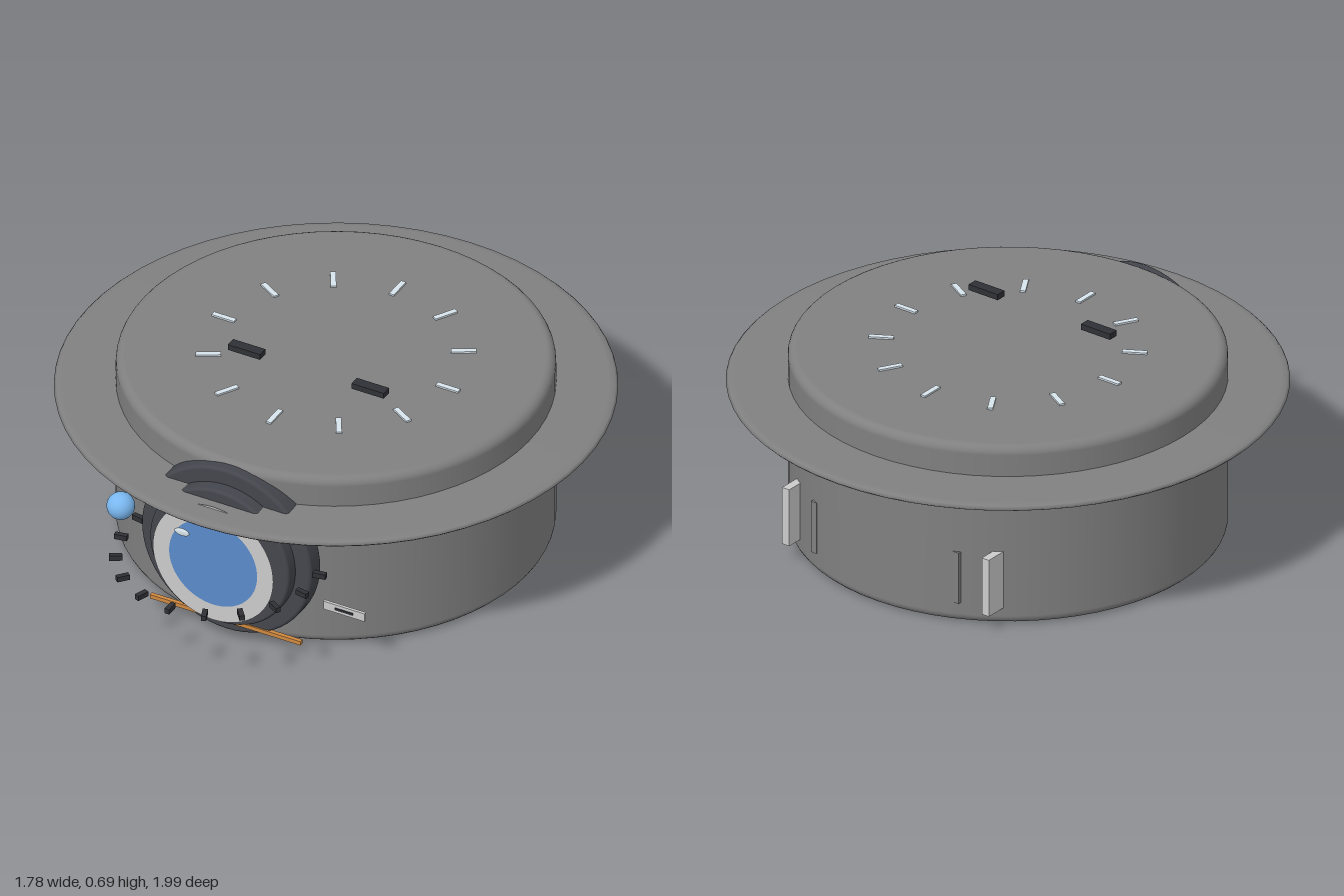
import * as THREE from 'three';

const mat = (color, extra = {}) => new THREE.MeshStandardMaterial({ color, ...extra });
const grey = mat(0xcccccc);
const shell = mat(0x808080);
const dark = mat(0x44464d);
const black = mat(0x303136);
const blue = mat(0x5a8aca);
const paleBlue = mat(0x7ab8f0);
const tickColor = mat(0xd8e4ec);
const orange = mat(0xd08a40);

const CZ = -0.11;   // axis of the drum
const LY = 0.315;   // height of the lens axis

export function createModel() {
  const model = new THREE.Group();

  const add = (name, geometry, material, x, y, z) => {
    const mesh = new THREE.Mesh(geometry, material);
    mesh.name = name;
    mesh.position.set(x, y, z);
    model.add(mesh);
    return mesh;
  };
  const box = (name, size, material, x, y, z) =>
    add(name, new THREE.BoxGeometry(...size), material, x, y, z);

  // Solid of revolution with rounded rims, from y = 0 to y = h
  const roundedDisc = (r, h, b, segments) => {
    const pts = [new THREE.Vector2(0, 0)];
    const steps = 5;
    for (let i = 0; i <= steps; i++) {
      const a = (i / steps) * Math.PI / 2;
      pts.push(new THREE.Vector2(r - b + b * Math.sin(a), b - b * Math.cos(a)));
    }
    for (let i = 0; i <= steps; i++) {
      const a = (i / steps) * Math.PI / 2;
      pts.push(new THREE.Vector2(r - b + b * Math.cos(a), h - b + b * Math.sin(a)));
    }
    pts.push(new THREE.Vector2(0, h));
    return new THREE.LatheGeometry(pts, segments);
  };

  // Drum body
  add('body', roundedDisc(0.693, 0.63, 0.03, 64), shell, 0, 0, CZ);

  // Thin brim around the drum
  const brim = [[0.6, 0.497], [0.86, 0.497], [0.88, 0.502], [0.888, 0.51],
    [0.88, 0.518], [0.86, 0.522], [0.6, 0.528]].map(p => new THREE.Vector2(...p));
  add('brim', new THREE.LatheGeometry(brim, 64), shell, 0, 0, CZ);

  // Dial ticks on the lid
  for (let i = 0; i < 12; i++) {
    const a = (i / 12) * Math.PI * 2;
    const tick = box('dialTick', [0.018, 0.012, 0.08], tickColor,
      0.402 * Math.sin(a), 0.63, CZ + 0.402 * Math.cos(a));
    tick.rotation.y = a;
  }

  // Two floating bars above the lid
  for (const s of [-1, 1]) box('lidBar', [0.115, 0.02, 0.035], black, s * 0.222, 0.68, 0.07);

  // Stepped lens housing, turned to face +z
  const forward = geometry => geometry.rotateX(Math.PI / 2);
  add('lensHousing', forward(roundedDisc(0.305, 0.07, 0.012, 64)), dark, 0, LY, 0.54);
  add('lensStep', forward(roundedDisc(0.25, 0.06, 0.01, 64)), dark, 0, LY, 0.595);
  add('lensGlass', forward(roundedDisc(0.165, 0.042, 0.005, 48)), blue, 0, LY, 0.65);
  add('lensRing', new THREE.RingGeometry(0.158, 0.216, 64),
    mat(0xcccccc, { side: THREE.DoubleSide }), 0, LY, 0.693);
  add('lensGlint', new THREE.SphereGeometry(1, 20, 12).scale(0.027, 0.014, 0.005),
    tickColor, -0.1, 0.415, 0.715);

  // Arc of small markers around the lens
  for (let i = -5; i <= 5; i++) {
    const a = THREE.MathUtils.degToRad(i * 20);
    const marker = box('arcMarker', [0.017, 0.018, 0.042], black,
      0.33 * Math.sin(a), LY, 0.645 + 0.33 * Math.cos(a));
    marker.rotation.y = a;
  }

  // Small ball beside the lens
  add('ball', new THREE.SphereGeometry(0.045, 28, 18), paleBlue, -0.38, 0.355, 0.605);

  // Slotted plate
  box('slotPlate', [0.148, 0.03, 0.01], grey, 0.402, 0.19, 0.565);
  box('slot', [0.064, 0.008, 0.004], black, 0.402, 0.19, 0.571);

  // Orange trim strip under the lens
  box('trimStrip', [0.54, 0.014, 0.014], orange, 0, 0.05, 0.608);

  // Rear plates and narrow ribs, mirrored
  for (const s of [-1, 1]) {
    box('rearPlate', [0.028, 0.2, 0.075], grey, s * 0.395, 0.16, -0.708);
    box('rearRib', [0.022, 0.18, 0.02], shell, s * 0.281, 0.16, CZ - 0.63);
  }

  return model;
}
